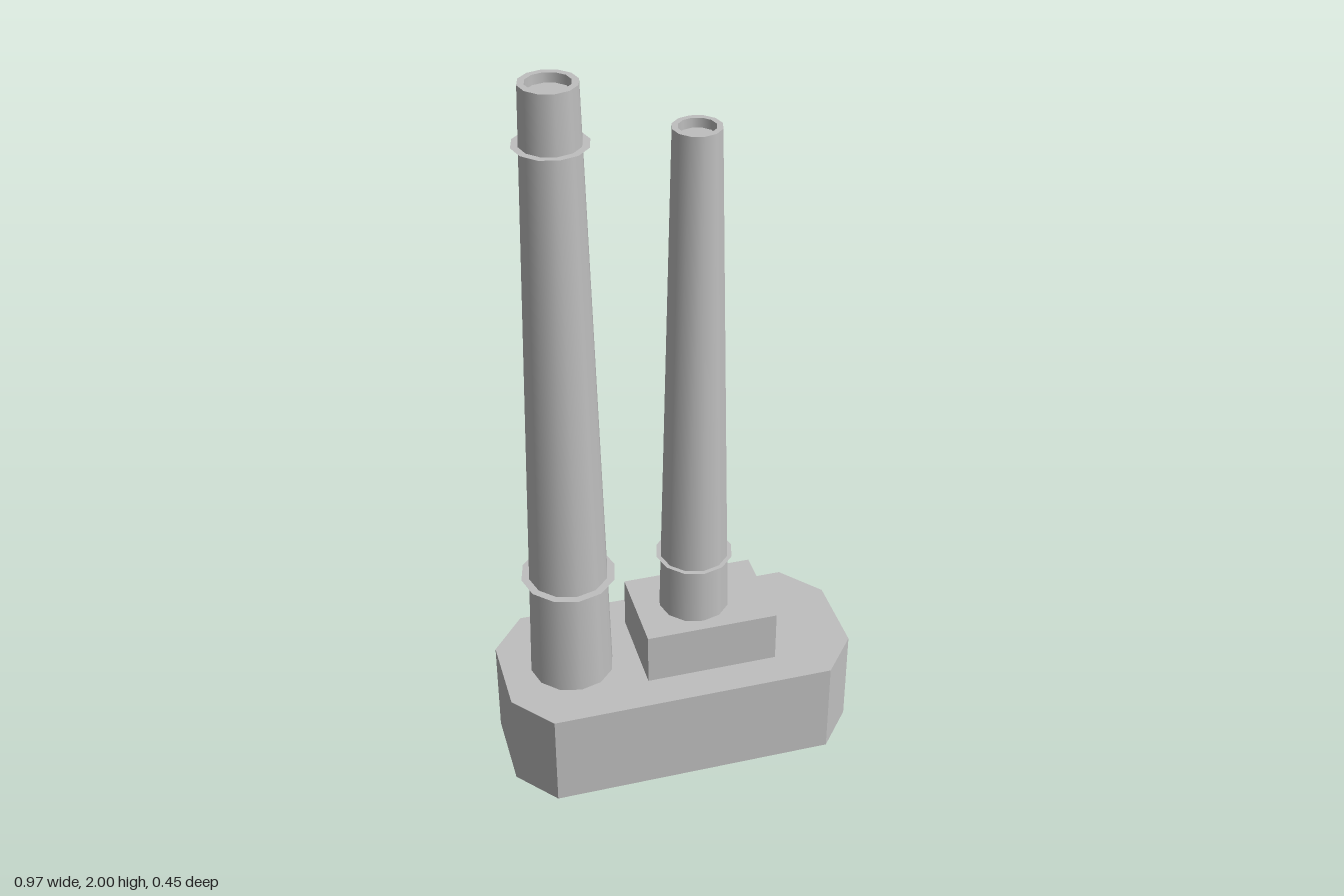
import * as THREE from 'three';

const SIDES = 12;

export function createModel() {
  const model = new THREE.Group();
  const grey = new THREE.MeshStandardMaterial({ color: 0xbfbfbf, side: THREE.DoubleSide });
  grey.name = 'concrete grey';

  const add = (parent, name, geometry, x = 0, y = 0, z = 0) => {
    const mesh = new THREE.Mesh(geometry, grey);
    mesh.name = name;
    mesh.position.set(x, y, z);
    parent.add(mesh);
    return mesh;
  };

  // Base hall: chamfered walls and a flat roof, open underneath
  const h = 0.28;
  const outline = [
    [-0.39, 0.225], [0.39, 0.225], [0.484, 0.112], [0.484, -0.112],
    [0.39, -0.225], [-0.39, -0.225], [-0.484, -0.112], [-0.484, 0.112],
  ];
  const walls = [];
  outline.forEach(([ax, az], i) => {
    const [bx, bz] = outline[(i + 1) % outline.length];
    walls.push(ax, 0, az, bx, 0, bz, bx, h, bz, ax, 0, az, bx, h, bz, ax, h, az);
  });
  const wallGeometry = new THREE.BufferGeometry();
  wallGeometry.setAttribute('position', new THREE.Float32BufferAttribute(walls, 3));
  wallGeometry.computeVertexNormals();
  const base = new THREE.Group();
  base.name = 'base';
  add(base, 'baseWalls', wallGeometry);
  const roof = new THREE.Shape(outline.map(([x, z]) => new THREE.Vector2(x, -z)));
  add(base, 'baseRoof', new THREE.ShapeGeometry(roof).rotateX(-Math.PI / 2), 0, h, 0);
  model.add(base);

  // Plinth below the shorter chimney
  add(model, 'plinth', new THREE.BoxGeometry(0.365, 0.15, 0.256), 0.077, 0.355, 0.002);

  // Flat horizontal annulus
  const flatRing = (inner, outer) =>
    new THREE.RingGeometry(inner, outer, SIDES).rotateX(-Math.PI / 2);

  // Tapered chimney with recessed mouth and flat collars given as [height, outer radius]
  const chimney = (name, x, bottom, top, rBottom, rTop, rMouth, collars) => {
    const group = new THREE.Group();
    group.name = name;
    group.position.x = x;
    const height = top - bottom, depth = 0.025;
    add(group, 'shaft', new THREE.CylinderGeometry(rTop, rBottom, height, SIDES, 1, true), 0, bottom + height / 2);
    add(group, 'rim', flatRing(rMouth, rTop), 0, top);
    add(group, 'mouthWall', new THREE.CylinderGeometry(rMouth, rMouth, depth, SIDES, 1, true), 0, top - depth / 2);
    add(group, 'mouthFloor', new THREE.CircleGeometry(rMouth, SIDES).rotateX(-Math.PI / 2), 0, top - depth);
    for (const [y, outer] of collars) {
      const inner = THREE.MathUtils.mapLinear(y, bottom, top, rBottom, rTop);
      add(group, 'collar', flatRing(inner, outer), 0, y);
    }
    model.add(group);
  };
  chimney('tallChimney', -0.29, 0.28, 2, 0.115, 0.072, 0.055, [[0.6, 0.128], [1.85, 0.094]]);
  chimney('shortChimney', 0.06, 0.43, 1.85, 0.097, 0.062, 0.047, [[0.6, 0.105]]);

  return model;
}
